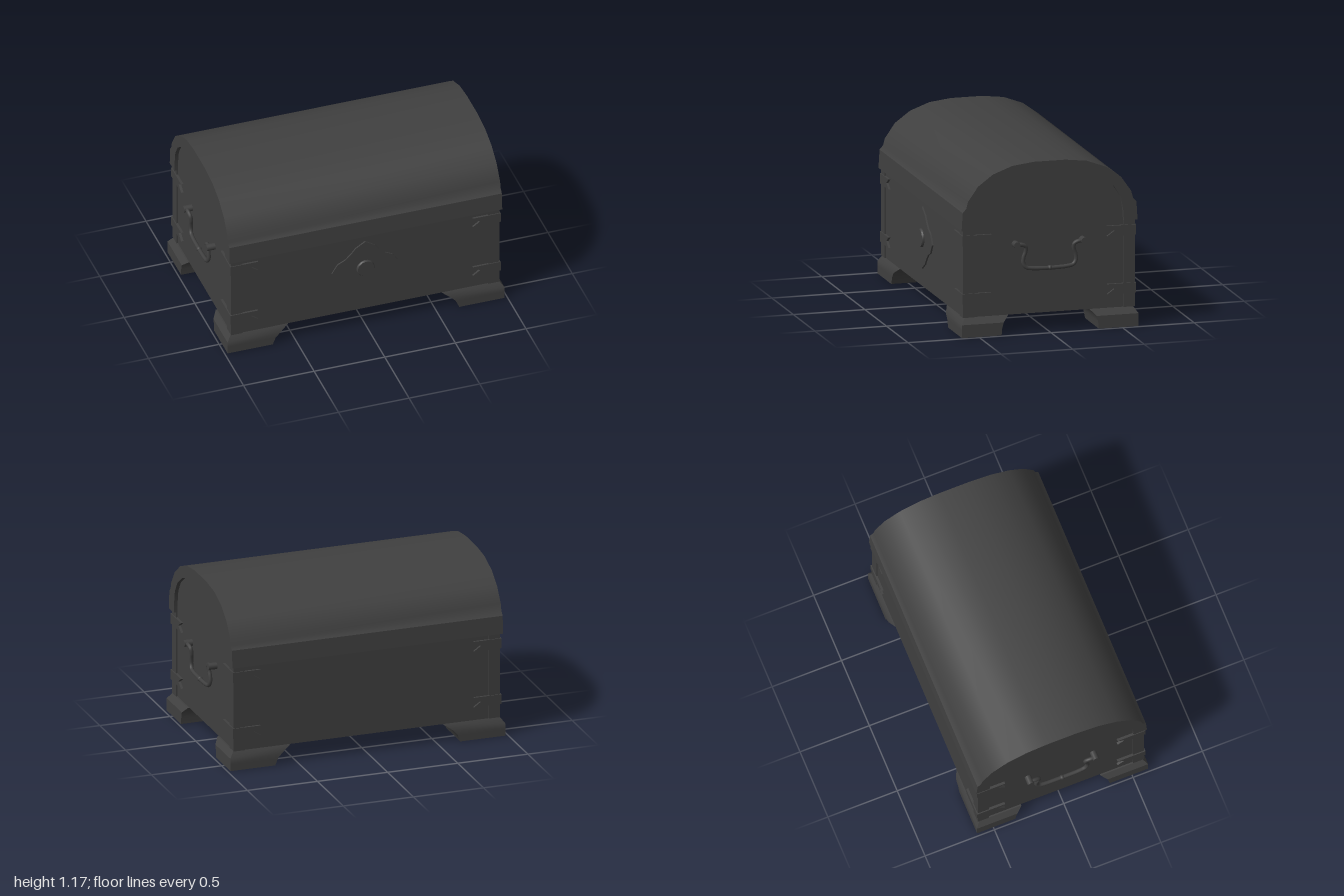
import * as THREE from 'three';
import { toCreasedNormals } from 'three/addons/utils/BufferGeometryUtils.js';

const material = new THREE.MeshStandardMaterial({ color: 0x404040 });

function add(parent, name, geometry) {
  const mesh = new THREE.Mesh(geometry, material);
  mesh.name = name;
  parent.add(mesh);
  return mesh;
}

// Box given by its lower and upper corners
function box(x0, x1, y0, y1, z0, z1) {
  return new THREE.BoxGeometry(x1 - x0, y1 - y0, z1 - z0)
    .translate((x0 + x1) / 2, (y0 + y1) / 2, (z0 + z1) / 2);
}

// Copy of a geometry mirrored in x and/or z, with its winding kept outward
function mirrored(geometry, sx, sz) {
  const g = geometry.index ? geometry.toNonIndexed() : geometry.clone();
  g.scale(sx, 1, sz);
  if (sx * sz < 0) {
    for (const attr of Object.values(g.attributes)) {
      const n = attr.itemSize, a = attr.array;
      for (let i = 0; i < a.length; i += 3 * n) {
        for (let k = 0; k < n; k++) {
          [a[i + n + k], a[i + 2 * n + k]] = [a[i + 2 * n + k], a[i + n + k]];
        }
      }
    }
  }
  return g;
}

const shapeOf = points => new THREE.Shape(points.map(p => new THREE.Vector2(...p)));

function slab(points, depth) {
  return new THREE.ExtrudeGeometry(shapeOf(points), { depth, bevelEnabled: false });
}

// Full arch from the half with positive z
const fullArch = half => [...half, ...half.slice().reverse().map(([z, y]) => [-z, y])];

// Extrude a (z, y) outline along x, centred
function alongX(shape, width) {
  const g = new THREE.ExtrudeGeometry(shape, { depth: width, bevelEnabled: false });
  g.translate(0, 0, -width / 2).rotateY(-Math.PI / 2);
  return toCreasedNormals(g, 0.5);
}

// Foot: rectangular sections stacked upward, flaring inward under the chest
function footGeometry() {
  // y, inner x, outer x, inner z, outer z
  const levels = [
    [0, 0.66, 0.98, 0.34, 0.617],
    [0.05, 0.64, 0.98, 0.335, 0.617],
    [0.088, 0.605, 0.98, 0.325, 0.617],
    [0.13, 0.54, 0.95, 0.285, 0.59],
  ];
  const rings = levels.map(([y, xi, xo, zi, zo]) =>
    [[xi, y, zi], [xo, y, zi], [xo, y, zo], [xi, y, zo]]);
  const pos = [];
  const tri = (...corners) => corners.forEach(c => pos.push(...c));
  for (let i = 0; i < rings.length - 1; i++) {
    for (let k = 0; k < 4; k++) {
      const n = (k + 1) % 4;
      const a = rings[i][k], b = rings[i][n], c = rings[i + 1][n], d = rings[i + 1][k];
      tri(a, c, b);
      tri(a, d, c);
    }
  }
  const low = rings[0], top = rings[rings.length - 1];
  tri(low[0], low[1], low[2]);
  tri(low[0], low[2], low[3]);
  tri(top[0], top[2], top[1]);
  tri(top[0], top[3], top[2]);
  const g = new THREE.BufferGeometry();
  g.setAttribute('position', new THREE.Float32BufferAttribute(pos, 3));
  g.computeVertexNormals();
  return toCreasedNormals(g, 0.6);
}

// Strap outline with a V notch cut in its inner end
const strapOutline = (outer, inner, notch, y) => [
  [outer, y], [outer, y + 0.07], [inner, y + 0.07],
  [notch, y + 0.035], [inner, y],
];

function createHandle() {
  const handle = new THREE.Group();
  handle.name = 'handle';
  // Bail: x, y, z of one half, mirrored in z
  const half = [
    [0.978, 0.615, 0.235], [0.978, 0.613, 0.195], [0.974, 0.598, 0.17],
    [0.968, 0.565, 0.168], [0.965, 0.525, 0.181], [0.965, 0.485, 0.184],
    [0.968, 0.455, 0.165], [0.97, 0.445, 0.12], [0.97, 0.441, 0.04],
  ];
  const path = [...half, ...half.slice().reverse().map(([x, y, z]) => [x, y, -z])]
    .map(p => new THREE.Vector3(...p));
  add(handle, 'bail', new THREE.TubeGeometry(new THREE.CatmullRomCurve3(path), 60, 0.014, 10));
  add(handle, 'bailBead', new THREE.SphereGeometry(0.018, 12, 8).translate(0.97, 0.441, 0));
  for (const z of [-0.235, 0.235]) {
    add(handle, 'handleMount', new THREE.CylinderGeometry(0.023, 0.023, 0.07, 16)
      .rotateZ(Math.PI / 2).translate(0.965, 0.615, z));
  }
  return handle;
}

export function createModel() {
  const chest = new THREE.Group();
  chest.name = 'chest';

  // Body box and the arched end panels that rise into the lid
  add(chest, 'body', box(-0.94, 0.94, 0.13, 0.75, -0.592, 0.592));
  const innerArch = fullArch([
    [0.52, 0.73], [0.515, 0.8], [0.5, 0.89], [0.45, 0.97],
    [0.36, 1.035], [0.24, 1.08], [0.12, 1.09],
  ]);
  add(chest, 'endPanels', alongX(shapeOf(innerArch), 1.88));

  // Lid shell
  const outerArch = fullArch([
    [0.615, 0.73], [0.607, 0.855], [0.583, 0.882], [0.57, 0.93], [0.5, 1.03],
    [0.395, 1.107], [0.26, 1.157], [0.11, 1.175],
  ]);
  const lidOutline = shapeOf([...outerArch, ...innerArch.slice().reverse()]);
  add(chest, 'lid', alongX(lidOutline, 1.93));

  // Corner posts, straps and feet
  const foot = footGeometry();
  const post = box(0.87, 0.95, 0.13, 0.73, 0.52, 0.6);
  const straps = [0.225, 0.625].flatMap(y => [
    slab(strapOutline(0.957, 0.76, 0.81, y).reverse(), 0.03).translate(0, 0, 0.577),
    slab(strapOutline(-0.607, -0.405, -0.455, y), 0.03).rotateY(Math.PI / 2).translate(0.927, 0, 0),
  ]);
  for (const sx of [-1, 1]) {
    for (const sz of [-1, 1]) {
      add(chest, 'foot', mirrored(foot, sx, sz));
      add(chest, 'cornerPost', mirrored(post, sx, sz));
      straps.forEach(s => add(chest, 'cornerStrap', mirrored(s, sx, sz)));
    }
  }

  // Lock plate and boss on the front
  const quarter = [[0.237, 0], [0.195, 0.065], [0.14, 0.092], [0.1, 0.13], [0.07, 0.168], [0, 0.212]];
  const upper = [...quarter, ...quarter.slice(0, -1).reverse().map(([x, y]) => [-x, y])];
  const plate = [...upper, ...upper.slice(1, -1).reverse().map(([x, y]) => [x, -y])];
  add(chest, 'lockPlate', slab(plate, 0.02)).position.set(0, 0.468, 0.583);
  const boss = new THREE.LatheGeometry(
    [[0.063, 0], [0.063, 0.024], [0.057, 0.034], [0, 0.034]].map(p => new THREE.Vector2(...p)), 32);
  add(chest, 'lockBoss', toCreasedNormals(boss.rotateX(Math.PI / 2), 0.5)).position.set(0, 0.468, 0.584);

  // Handles on both ends
  const left = createHandle();
  const right = createHandle();
  right.rotation.y = Math.PI;
  chest.add(left, right);

  return chest;
}
